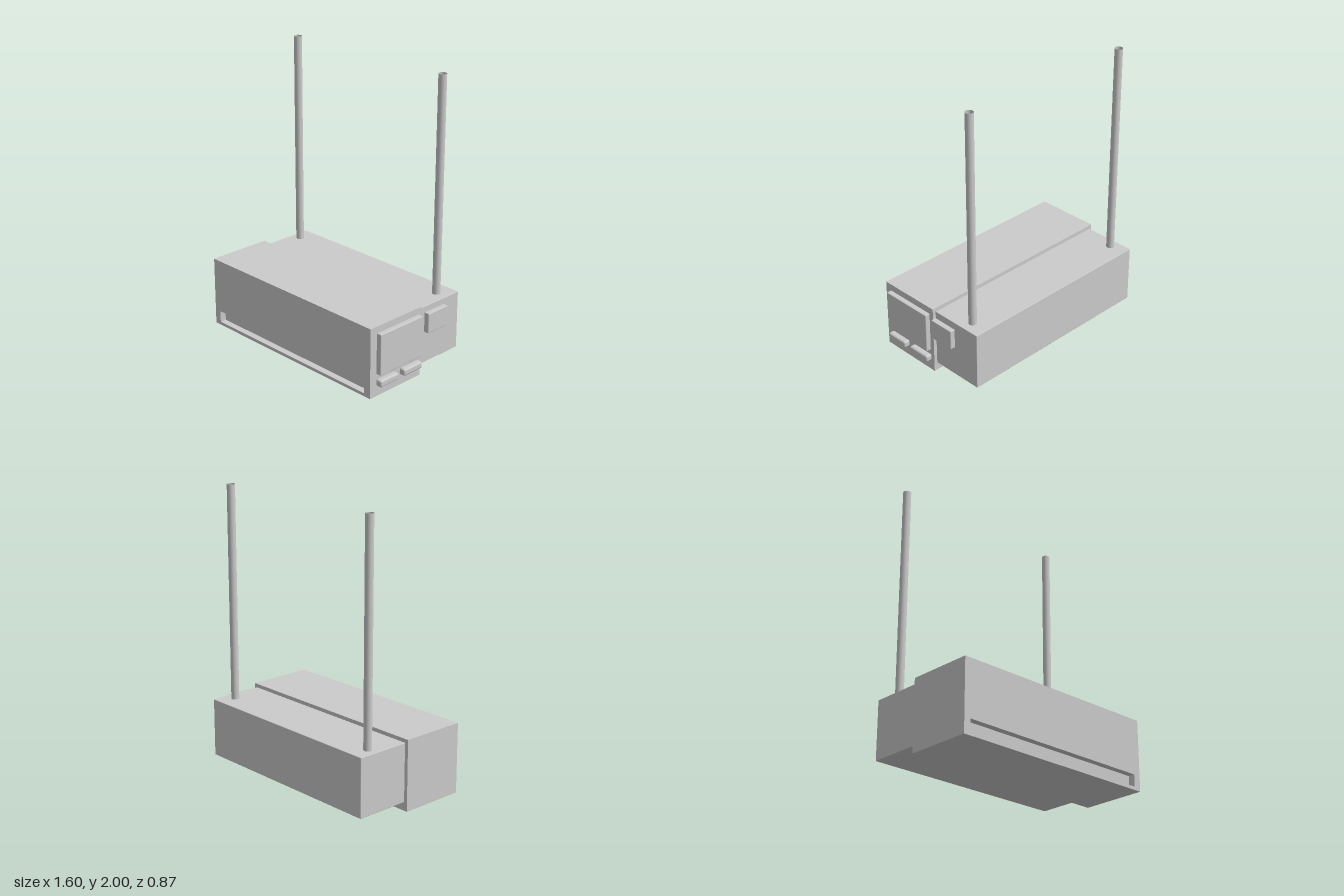
import * as THREE from 'three';
import { RoundedBoxGeometry } from 'three/addons/geometries/RoundedBoxGeometry.js';

const material = new THREE.MeshStandardMaterial({ color: 0xcccccc });
const tubeMaterial = new THREE.MeshStandardMaterial({ color: 0xcccccc, side: THREE.DoubleSide });

// Softly rounded box given by its extents on each axis
function block(name, [x0, x1], [y0, y1], [z0, z1], radius = 0.004) {
  const geometry = new RoundedBoxGeometry(x1 - x0, y1 - y0, z1 - z0, 3, radius);
  const mesh = new THREE.Mesh(geometry, material);
  mesh.name = name;
  mesh.position.set((x0 + x1) / 2, (y0 + y1) / 2, (z0 + z1) / 2);
  return mesh;
}

function rectangle(Type, x0, x1, y0, y1) {
  const path = new Type();
  path.moveTo(x0, y0);
  path.lineTo(x1, y0);
  path.lineTo(x1, y1);
  path.lineTo(x0, y1);
  path.closePath();
  return path;
}

export function createModel() {
  const model = new THREE.Group();
  model.name = 'hangingUnit';

  // Front cabinet: solid body plus a front plate with a long slot cut in it
  const cabinet = new THREE.Group();
  cabinet.name = 'frontCabinet';
  const slotBack = 0.385, front = 0.432;
  const body = new THREE.Mesh(new THREE.BoxGeometry(1.548, 0.5, slotBack + 0.04), material);
  body.name = 'cabinetBody';
  body.position.set(-0.026, 0.25, (slotBack - 0.04) / 2);

  const face = rectangle(THREE.Shape, -0.8, 0.748, 0, 0.5);
  face.holes.push(rectangle(THREE.Path, -0.75, 0.695, 0.023, 0.107));
  const plate = new THREE.Mesh(
    new THREE.ExtrudeGeometry(face, { depth: front - slotBack, bevelEnabled: false }), material);
  plate.name = 'slottedFrontPlate';
  plate.position.z = slotBack;
  cabinet.add(body, plate);
  model.add(cabinet);

  // Rear housing, a little smaller and raised off the ground
  model.add(block('rearHousing', [-0.776, 0.725], [0.06, 0.475], [-0.434, -0.04]));

  // Side panels and the two rounded buttons below them
  const sideX = [0.75, 0.79];
  model.add(block('largeSidePanel', sideX, [0.165, 0.457], [-0.013, 0.38], 0.006));
  model.add(block('smallSidePanel', sideX, [0.308, 0.452], [-0.256, -0.068], 0.006));
  for (const z of [[-0.015, 0.16], [0.21, 0.38]]) {
    model.add(block('sideButton', [0.745, 0.795], [0.077, 0.127], z, 0.014));
  }

  // Open hanging tubes rising from the rear housing
  for (const x of [-0.705, 0.64]) {
    const tube = new THREE.Mesh(
      new THREE.CylinderGeometry(0.028, 0.028, 1.53, 32, 1, true), tubeMaterial);
    tube.name = 'hangingTube';
    tube.position.set(x, 1.235, -0.308);
    model.add(tube);
  }

  return model;
}
